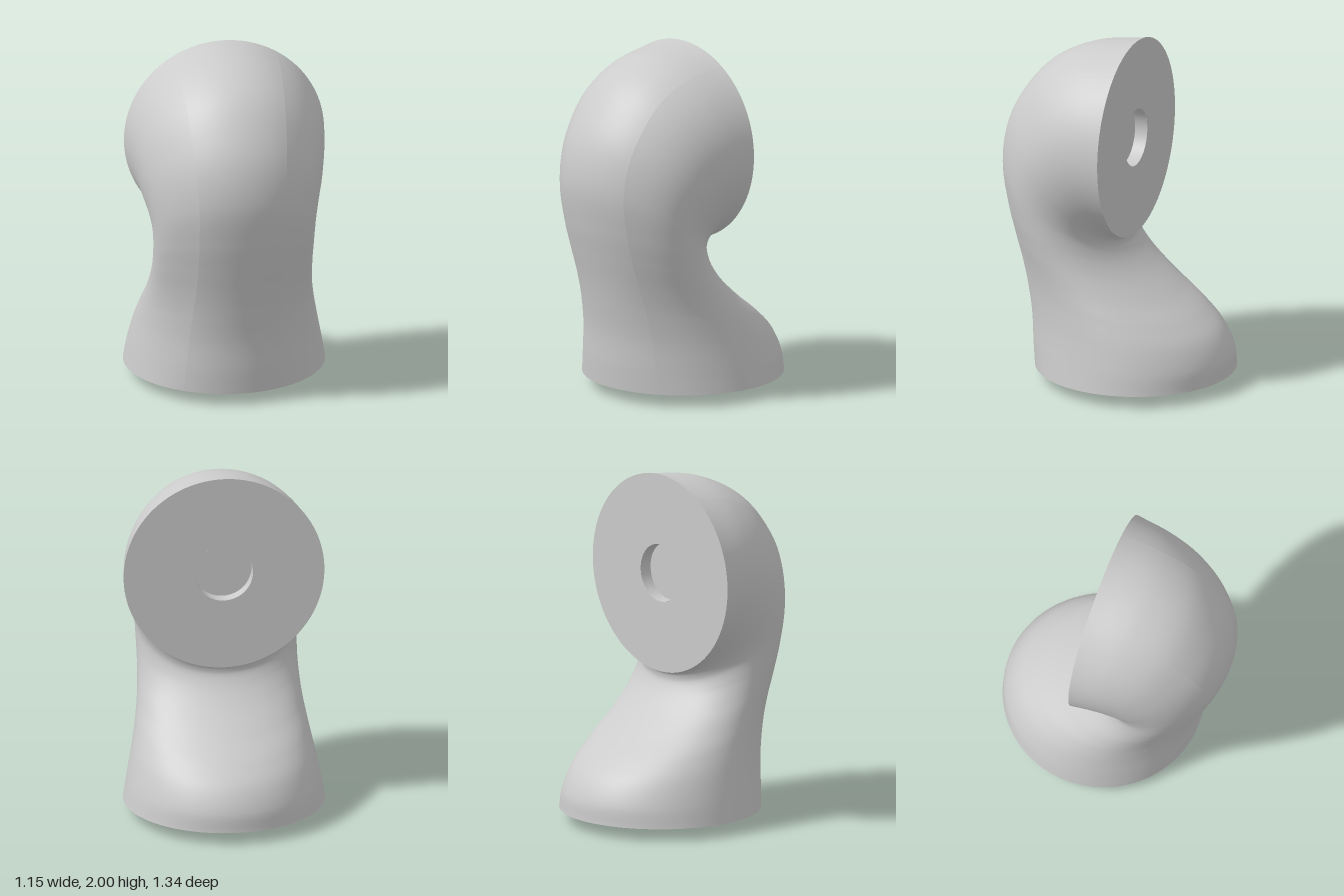
import * as THREE from 'three';

const R = 0.573, PIN = 0.166, BASE_Y = 0.071, BACK_Z = -0.0975, TOP_Y = 1.428;
const CREASE = THREE.MathUtils.degToRad(32);

// Cross-sections from base to back face: outer z, y, inner z, y, half width
const sections = [
  [0.475, BASE_Y, -0.67, BASE_Y, R],
  [0.487, 0.2, -0.66, 0.18, 0.552],
  [0.50, 0.39, -0.60, 0.30, 0.52],
  [0.53, 0.57, -0.495, 0.40, 0.49],
  [0.56, 0.71, -0.335, 0.52, 0.468],
  [0.60, 0.87, -0.18, 0.65, 0.457],
  [0.64, 1.04, -0.10, 0.74, 0.457],
  [0.673, 1.28, -0.067, 0.80, 0.465],
  [0.642, 1.49, -0.066, 0.826, 0.485],
  [0.56, 1.66, -0.07, 0.841, 0.508],
  [0.405, 1.84, -0.078, 0.85, 0.532],
  [0.19, 1.95, -0.086, 0.854, 0.553],
  [BACK_Z, TOP_Y + R - 0.001, BACK_Z, TOP_Y - R, R],
];

// The x of the outer rail carries the half width
const outer = new THREE.CatmullRomCurve3(sections.map(s => new THREE.Vector3(s[4], s[1], s[0])));
const inner = new THREE.CatmullRomCurve3(sections.map(s => new THREE.Vector3(0, s[3], s[2])));

// Lofted strip of the bent body between two angles around the section
function loft(from, to, cols) {
  const rows = 120, pos = [], index = [];
  for (let i = 0; i <= rows; i++) {
    const t = i / rows, o = outer.getPoint(t), n = inner.getPoint(t);
    for (let j = 0; j <= cols; j++) {
      const a = from + (to - from) * j / cols;
      // Slight flattening beside the front panel makes the soft crease
      const off = Math.acos(THREE.MathUtils.clamp(Math.cos(a), -1, 1)) - CREASE;
      const p = THREE.MathUtils.clamp(off / 1.05, 0, 1);
      const k = Math.cos(a) - 0.2 * Math.sin(Math.PI * t) * p * (1 - p) ** 2;
      pos.push(o.x * Math.sin(a), (o.y + n.y) / 2 + (o.y - n.y) / 2 * k, (o.z + n.z) / 2 + (o.z - n.z) / 2 * k);
      if (i < rows && j < cols) {
        const q = i * (cols + 1) + j, u = q + cols + 1;
        index.push(q, q + 1, u, q + 1, u + 1, u);
      }
    }
  }
  const g = new THREE.BufferGeometry();
  g.setAttribute('position', new THREE.Float32BufferAttribute(pos, 3));
  g.setIndex(index);
  g.computeVertexNormals();
  return g;
}

export function createModel() {
  const group = new THREE.Group();
  group.name = 'bentConnector';
  const solid = new THREE.MeshStandardMaterial({ color: 0xcccccc });
  const open = new THREE.MeshStandardMaterial({ color: 0xcccccc, side: THREE.DoubleSide });
  const add = (name, geometry, material = solid) => {
    const mesh = new THREE.Mesh(geometry, material);
    mesh.name = name;
    group.add(mesh);
    return mesh;
  };

  // Bent body: front panel and wrap-around sides
  add('frontPanel', loft(-CREASE, CREASE, 24));
  add('sidesAndInnerBend', loft(CREASE, 2 * Math.PI - CREASE, 110));

  // Flat base with its round peg
  add('baseFace', new THREE.CircleGeometry(R, 128).rotateX(Math.PI / 2)).position.set(0, BASE_Y, BACK_Z);
  add('basePeg', new THREE.CylinderGeometry(PIN, PIN, BASE_Y, 64)).position.set(0, BASE_Y / 2, BACK_Z);

  // Flat back face with its round socket
  const depth = 0.075;
  add('backFace', new THREE.RingGeometry(PIN, R, 128).rotateY(Math.PI)).position.set(0, TOP_Y, BACK_Z);
  add('socketWall', new THREE.CylinderGeometry(PIN, PIN, depth, 64, 1, true).rotateX(Math.PI / 2), open)
    .position.set(0, TOP_Y, BACK_Z + depth / 2);
  add('socketFloor', new THREE.CircleGeometry(PIN, 64).rotateY(Math.PI)).position.set(0, TOP_Y, BACK_Z + depth);
  return group;
}
